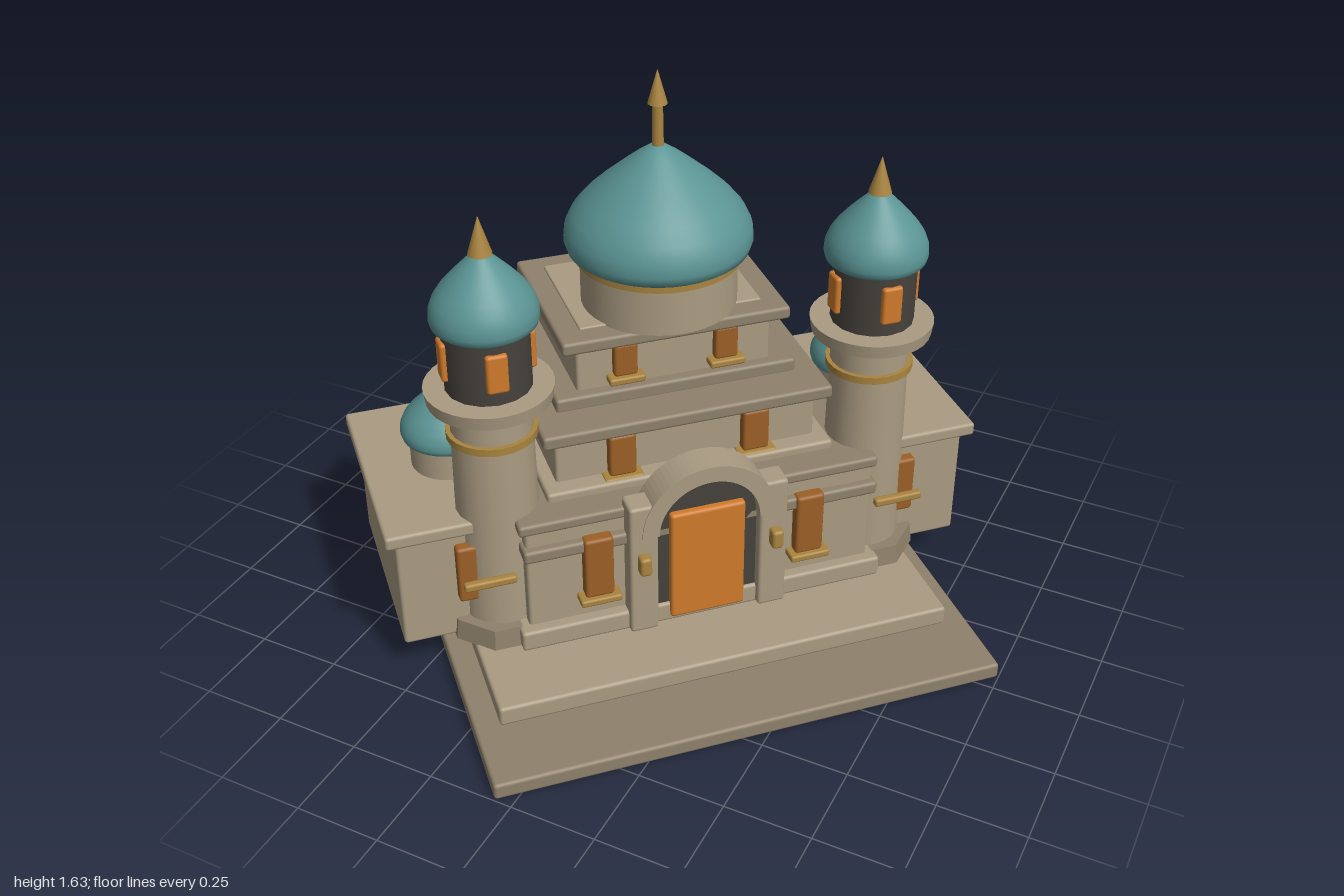
import * as THREE from 'three';
import { RoundedBoxGeometry } from 'three/addons/geometries/RoundedBoxGeometry.js';

const paint = (name, color) => {
  const m = new THREE.MeshStandardMaterial({ color });
  m.name = name;
  return m;
};

export function createModel() {
  const stone = paint('stone', 0xab9c82);
  const trim = paint('darkStone', 0x8f816b);
  const teal = paint('domeTeal', 0x5b9494);
  const gold = paint('gold', 0xa9843f);
  const dark = paint('darkRecess', 0x46413c);
  const orange = paint('glowingOrange', 0xcf7a2a);
  const amber = paint('amberGlass', 0x9c6026);

  const model = new THREE.Group();
  model.name = 'domedHall';
  const hall = new THREE.Group();
  hall.name = 'hall';
  hall.rotation.y = Math.PI / 4; // the hall stands diagonally
  model.add(hall);

  const add = (name, geo, mat, x = 0, y = 0, z = 0, parent = hall) => {
    const m = new THREE.Mesh(geo, mat);
    m.name = name;
    m.position.set(x, y, z);
    parent.add(m);
    return m;
  };
  // Box from its limits, with softened edges
  const box = (name, mat, x0, x1, y0, y1, z0, z1, parent = hall) => {
    const w = x1 - x0, h = y1 - y0, d = z1 - z0;
    const r = Math.min(0.01, Math.min(w, h, d) * 0.3);
    return add(name, new RoundedBoxGeometry(w, h, d, 2, r), mat,
      (x0 + x1) / 2, (y0 + y1) / 2, (z0 + z1) / 2, parent);
  };
  const drum = (name, mat, rTop, rBottom, y0, y1, x, z, sides = 32, parent = hall) =>
    add(name, new THREE.CylinderGeometry(rTop, rBottom, y1 - y0, sides), mat, x, (y0 + y1) / 2, z, parent);

  // Pointed dome from a shared profile of (radius, height) fractions
  const profile = [[0, 0], [0.9, 0], [0.97, 0.04], [1, 0.12], [0.985, 0.24], [0.91, 0.37],
    [0.78, 0.5], [0.6, 0.64], [0.4, 0.78], [0.22, 0.9], [0.1, 0.97], [0, 1]];
  const dome = (name, r, y0, y1, x, z, parent = hall) =>
    add(name, new THREE.LatheGeometry(profile.map(([a, b]) =>
      new THREE.Vector2(a * r, b * (y1 - y0))), 40), teal, x, y0, z, parent);

  // Window pane with a sill, facing the front
  const windowAt = (name, x, y0, y1, w, z) => {
    box(name, amber, x - w / 2, x + w / 2, y0, y1, z - 0.03, z + 0.015);
    box(name + 'Sill', gold, x - w / 2 - 0.018, x + w / 2 + 0.018, y0 - 0.018, y0 + 0.004, z - 0.03, z + 0.03);
  };

  // Base steps
  box('lowerStep', trim, -0.742, 0.742, 0, 0.05, -0.6, 0.672);
  box('upperStep', stone, -0.672, 0.672, 0.05, 0.11, -0.7, 0.46);

  // Lowest storey
  box('lowerPlinth', stone, -0.55, 0.55, 0.108, 0.172, -0.59, 0.25);
  box('lowerWall', stone, -0.52, 0.52, 0.11, 0.5, -0.55, 0.215);
  box('stringCourse', trim, -0.53, 0.53, 0.405, 0.445, -0.575, 0.24);
  box('lowerCornice', trim, -0.537, 0.537, 0.485, 0.52, -0.594, 0.22);
  box('middlePlinth', stone, -0.43, 0.43, 0.51, 0.545, -0.55, 0.13);

  // Middle storey
  box('middleWall', stone, -0.39, 0.39, 0.52, 0.69, -0.52, 0.075);
  box('middleCornice', trim, -0.43, 0.43, 0.68, 0.722, -0.56, 0.113);
  box('upperPlinth', trim, -0.36, 0.36, 0.715, 0.76, -0.53, -0.005);

  // Top storey
  box('upperWall', stone, -0.29, 0.29, 0.75, 0.91, -0.48, -0.04);
  box('upperCornice', trim, -0.337, 0.337, 0.9, 0.94, -0.522, 0);
  box('upperRoof', stone, -0.27, 0.27, 0.93, 0.946, -0.455, -0.065);

  // Main dome
  const mz = -0.18;
  drum('mainDrum', stone, 0.225, 0.225, 0.94, 1.085, 0, mz, 40);
  drum('mainDrumBand', gold, 0.238, 0.238, 1.08, 1.103, 0, mz, 40);
  dome('mainDome', 0.268, 1.1, 1.42, 0, mz);
  drum('mainFinialRod', gold, 0.015, 0.017, 1.4, 1.54, 0, mz, 12);
  drum('mainFinialTip', gold, 0.001, 0.028, 1.535, 1.63, 0, mz, 12);

  // Arched portal
  const opening = new THREE.Shape();
  opening.moveTo(-0.158, 0.11);
  opening.lineTo(0.158, 0.11);
  opening.lineTo(0.158, 0.44);
  opening.absarc(0, 0.44, 0.158, 0, Math.PI, false);
  opening.closePath();
  add('portalRecess', new THREE.ExtrudeGeometry(opening,
    { depth: 0.05, bevelEnabled: false, curveSegments: 20 }), dark, 0, 0, 0.19);
  const ring = new THREE.Shape();
  ring.absarc(0, 0, 0.2, 0, Math.PI, false);
  ring.absarc(0, 0, 0.15, Math.PI, 0, true);
  ring.closePath();
  add('portalArch', new THREE.ExtrudeGeometry(ring,
    { depth: 0.1, bevelEnabled: false, curveSegments: 20 }), stone, 0, 0.44, 0.175);
  box('door', orange, -0.112, 0.112, 0.125, 0.49, 0.225, 0.262);

  for (const s of [-1, 1]) {
    const side = s < 0 ? 'right' : 'left';
    const span = (a, b) => (s > 0 ? [a, b] : [-b, -a]);

    // Portal pillar and lamp
    box(side + 'PortalPillar', stone, ...span(0.152, 0.236), 0.11, 0.545, 0.19, 0.272);
    box(side + 'PortalLamp', gold, ...span(0.18, 0.215), 0.33, 0.39, 0.265, 0.305);

    // Front windows on all storeys
    windowAt(side + 'LowerWindow', s * 0.318, 0.25, 0.45, 0.085, 0.235);
    windowAt(side + 'MiddleWindow', s * 0.2, 0.545, 0.68, 0.08, 0.09);
    windowAt(side + 'UpperWindow', s * 0.15, 0.795, 0.9, 0.07, -0.03);

    // Side wing
    box(side + 'WingWall', stone, ...span(0.45, 0.862), 0.112, 0.475, -0.495, 0.113);
    box(side + 'WingRoof', stone, ...span(0.5, 0.891), 0.47, 0.512, -0.523, 0.141);
    box(side + 'WingWindow', amber, ...span(0.615, 0.7), 0.245, 0.43, 0.1, 0.145);
    box(side + 'WingWindowBar', gold, ...span(0.545, 0.695), 0.327, 0.352, 0.185, 0.21);
    drum(side + 'WingDrum', stone, 0.115, 0.115, 0.505, 0.605, s * 0.636, mz - 0.01);
    dome(side + 'WingDome', 0.138, 0.6, 0.775, s * 0.636, mz - 0.01);
    drum(side + 'WingFinial', gold, 0.011, 0.013, 0.765, 0.875, s * 0.636, mz - 0.01, 10);

    // Tower
    const t = new THREE.Group();
    t.name = side + 'Tower';
    t.position.set(s * 0.56, 0, 0.064);
    hall.add(t);
    const part = (name, mat, rt, rb, y0, y1, n) => drum(name, mat, rt, rb, y0, y1, 0, 0, n, t);
    const foot = part('towerFoot', trim, 0.16, 0.168, 0.108, 0.172, 8);
    foot.geometry = foot.geometry.toNonIndexed();
    foot.geometry.computeVertexNormals();
    foot.rotation.y = Math.PI / 8;
    part('towerShaft', stone, 0.113, 0.122, 0.165, 0.87, 20);
    part('towerBand', gold, 0.127, 0.127, 0.75, 0.772, 24);
    part('balconyFlare', stone, 0.14, 0.114, 0.84, 0.87, 24);
    part('balcony', stone, 0.178, 0.172, 0.865, 0.905, 32);
    part('lantern', dark, 0.12, 0.12, 0.9, 1.105, 16);
    for (let i = 0; i < 4; i++) {
      const pivot = new THREE.Group();
      pivot.name = 'lanternWindow';
      pivot.rotation.y = i * Math.PI / 2;
      t.add(pivot);
      box('lanternPane', orange, -0.03, 0.03, 0.945, 1.06, 0.1, 0.13, pivot);
    }
    dome('towerDome', 0.147, 1.09, 1.31, 0, 0, t);
    part('towerFinial', gold, 0.001, 0.033, 1.295, 1.4, 12);
  }
  return model;
}
